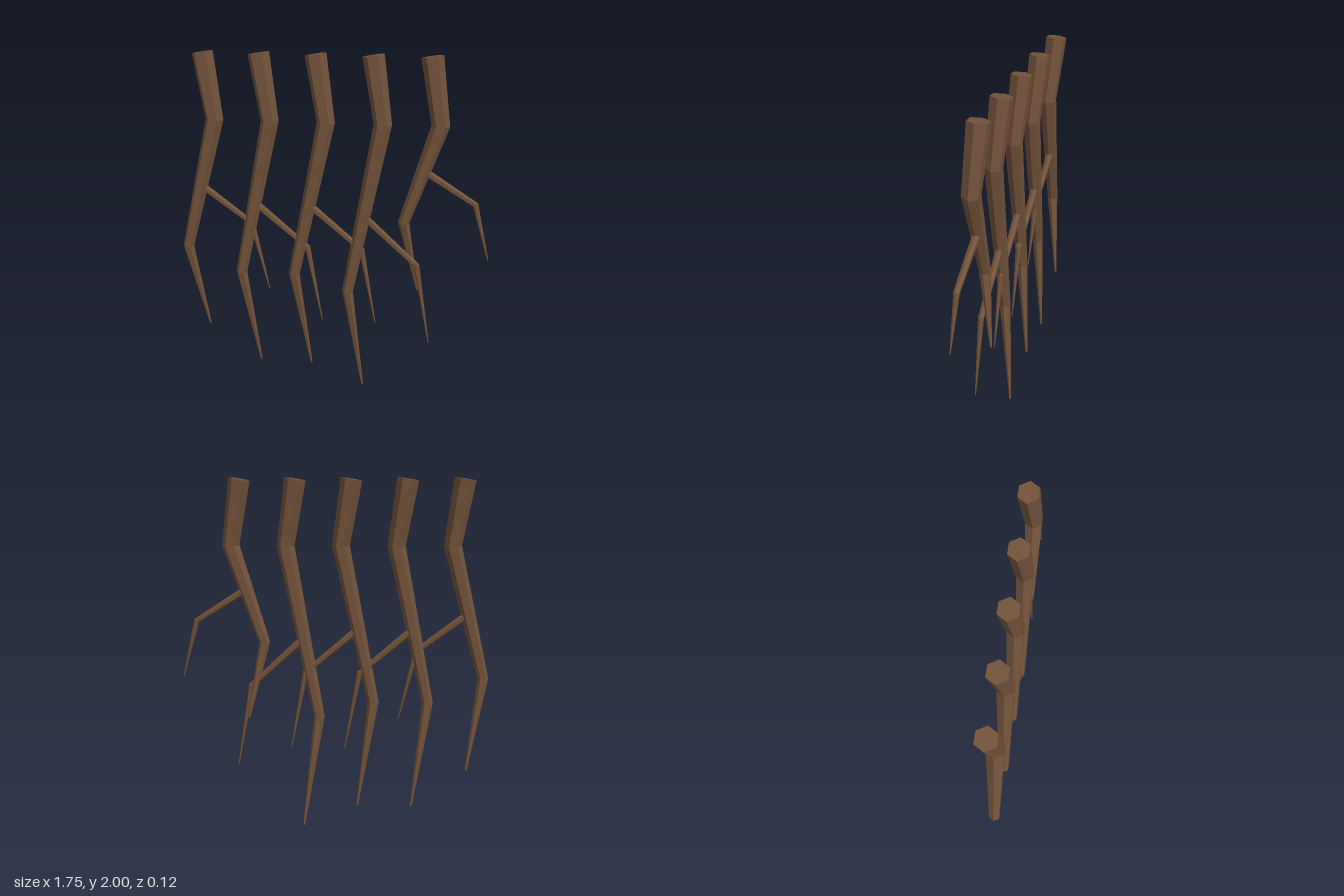
import * as THREE from 'three';

const SIDES = 6;

// Faceted, tapering limb: one hexagonal ring per point, mitred at the bends, capped at both ends.
function limbGeometry(points, radii) {
  const pts = points.map(p => new THREE.Vector3(...p));
  const last = pts.length - 1;
  const dir = i => pts[i + 1].clone().sub(pts[i]).normalize();
  const rings = pts.map((p, i) => {
    const t = dir(Math.min(i, last - 1)).add(dir(Math.max(i - 1, 0))).normalize();
    const u = new THREE.Vector3(-t.y, t.x, 0).normalize();
    const v = new THREE.Vector3().crossVectors(t, u);
    return Array.from({ length: SIDES }, (_, k) => {
      const a = (k / SIDES) * Math.PI * 2;
      return p.clone()
        .addScaledVector(u, Math.cos(a) * radii[i])
        .addScaledVector(v, Math.sin(a) * radii[i]);
    });
  });
  const pos = [];
  const tri = (...corners) => corners.forEach(c => pos.push(c.x, c.y, c.z));
  for (let k = 0; k < SIDES; k++) {
    const n = (k + 1) % SIDES;
    tri(pts[0], rings[0][n], rings[0][k]);
    tri(pts[last], rings[last][k], rings[last][n]);
    for (let i = 0; i < last; i++) {
      const a = rings[i], b = rings[i + 1];
      tri(a[k], a[n], b[k]);
      tri(a[n], b[n], b[k]);
    }
  }
  const geo = new THREE.BufferGeometry();
  geo.setAttribute('position', new THREE.Float32BufferAttribute(pos, 3));
  geo.computeVertexNormals();
  return geo;
}

export function createModel() {
  const group = new THREE.Group();
  group.name = 'hangingRoots';
  const bark = new THREE.MeshStandardMaterial({ color: 0x73523a, flatShading: true });
  bark.name = 'brown bark';

  // elbow and tip of each main root; start, elbow and tip of its side branch (x, y)
  const roots = [
    { elbow: [-0.846, 0.875], tip: [-0.758, 0.352], branch: [[-0.78, 1.265], [-0.465, 1.03], [-0.37, 0.635]] },
    { elbow: [-0.535, 0.73], tip: [-0.448, 0.13], branch: [[-0.47, 1.175], [-0.145, 0.9], [-0.06, 0.45]] },
    { elbow: [-0.225, 0.73], tip: [-0.138, 0.13], branch: [[-0.16, 1.175], [0.165, 0.9], [0.25, 0.45]] },
    { elbow: [0.086, 0.64], tip: [0.172, 0.002], branch: [[0.15, 1.12], [0.478, 0.82], [0.562, 0.345]] },
    { elbow: [0.398, 1.075], tip: [0.485, 0.645], branch: [[0.47, 1.395], [0.788, 1.195], [0.873, 0.875]] },
  ];

  roots.forEach(({ elbow, tip, branch }, i) => {
    const x = -0.717 + i * 0.31;
    const root = new THREE.Group();
    root.name = `root${i + 1}`;

    // thick root hanging from its cut top
    const main = new THREE.Mesh(limbGeometry(
      [[x, 1.99, -0.007], [x + 0.058, 1.625, 0.018], [...elbow, 0.028], [...tip, -0.032]],
      [0.06, 0.05, 0.032, 0.006]), bark);
    main.name = 'mainRoot';

    // thin branch growing through the main root
    const z = [0.022, 0.025, 0.037];
    const side = new THREE.Mesh(limbGeometry(
      branch.map((p, j) => [...p, z[j]]), [0.022, 0.017, 0.003]), bark);
    side.name = 'sideBranch';

    root.add(main, side);
    group.add(root);
  });
  return group;
}
